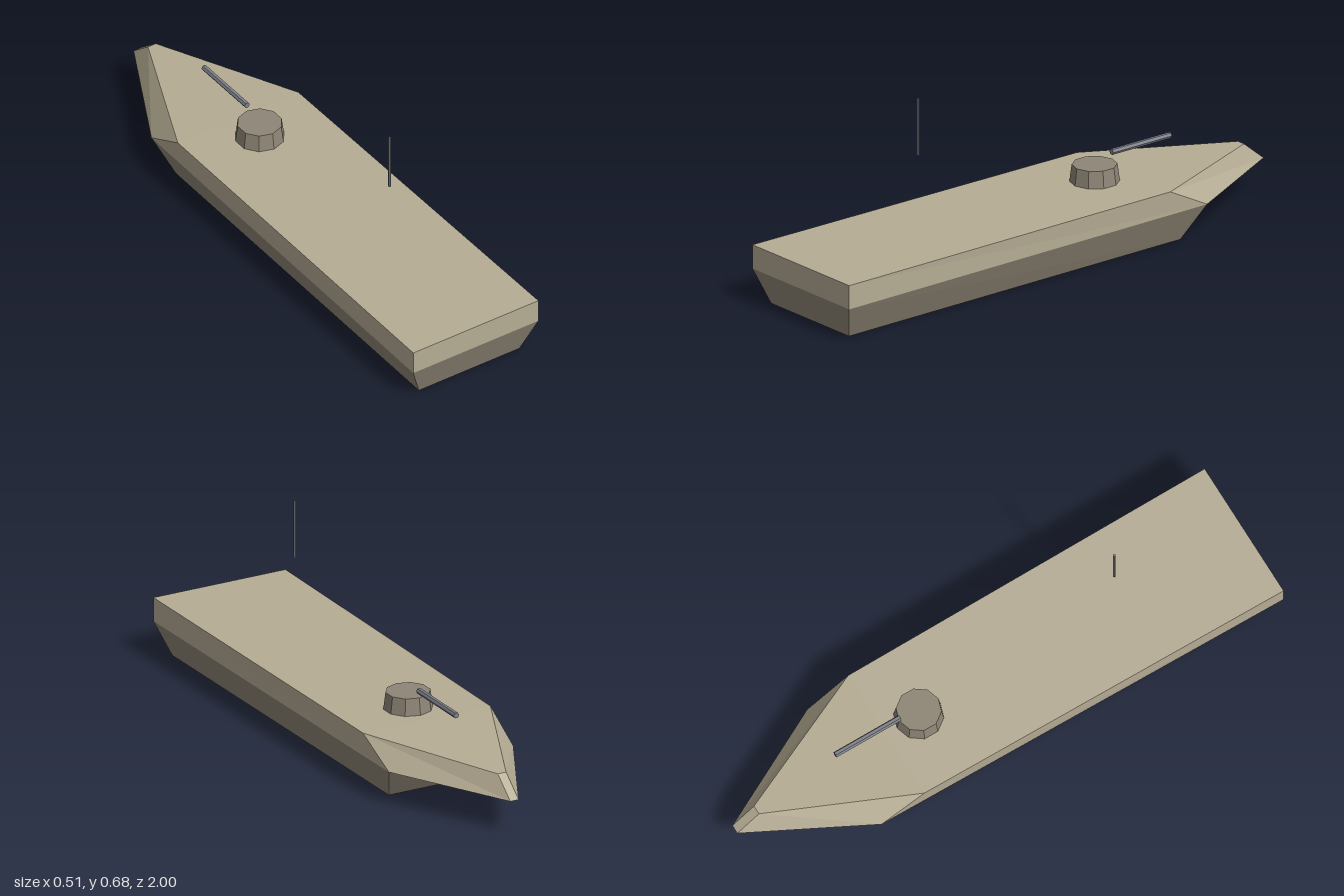
import * as THREE from 'three';

// Solid lofted between a lower and an upper loop, both anticlockwise from above
function loft(lower, upper) {
  const pos = [];
  const tri = (a, b, c) => pos.push(...a, ...b, ...c);
  const n = lower.length;
  for (let i = 0; i < n; i++) {
    const j = (i + 1) % n;
    tri(lower[i], lower[j], upper[i]);
    tri(lower[j], upper[j], upper[i]);
  }
  for (let i = 1; i < n - 1; i++) {
    tri(upper[0], upper[i], upper[i + 1]);
    tri(lower[0], lower[i + 1], lower[i]);
  }
  const geo = new THREE.BufferGeometry();
  geo.setAttribute('position', new THREE.Float32BufferAttribute(pos, 3));
  geo.computeVertexNormals();
  return geo;
}

// Symmetric loop from stations [halfWidth, y, z], listed from stern to bow
function loop(...stations) {
  const right = stations.map(([x, y, z]) => [x, y, z]);
  const left = stations.map(([x, y, z]) => [-x, y, z]).reverse();
  const all = [...right, ...left];
  return [...all.slice(1), all[0]]; // start at the shoulder so the deck folds there
}

export function createModel() {
  const group = new THREE.Group();
  const tan = new THREE.MeshStandardMaterial({ color: 0xb5ac94 });
  tan.name = 'sandPaint';
  const dark = new THREE.MeshStandardMaterial({ color: 0x8e8676 });
  dark.name = 'darkSandPaint';
  const metal = new THREE.MeshStandardMaterial({ color: 0x7e818a });
  metal.name = 'gunMetal';

  const add = (name, geo, mat, x = 0, y = 0, z = 0) => {
    const mesh = new THREE.Mesh(geo, mat);
    mesh.name = name;
    mesh.position.set(x, y, z);
    group.add(mesh);
    return mesh;
  };
  const faceted = (geo) => {
    const flat = geo.toNonIndexed();
    flat.computeVertexNormals();
    return flat;
  };

  // Lower hull, narrowing downward on all sides
  add('lowerHull', loft(
    loop([0.205, 0, 0.96], [0.195, 0, -0.49]),
    loop([0.255, 0.12, 1], [0.24, 0.12, -0.57])
  ), dark);

  // Upper hull with the pointed bow
  add('upperHull', loft(
    loop([0.255, 0.12, 1], [0.24, 0.12, -0.57], [0.016, 0.12, -1]),
    loop([0.255, 0.205, 1], [0.246, 0.205, -0.405], [0.016, 0.19, -0.915])
  ), tan);

  // Ten-sided turret
  add('turret', faceted(new THREE.CylinderGeometry(0.077, 0.085, 0.06, 10)), dark, 0, 0.235, -0.278);

  // Barrel floating ahead of the turret
  const barrel = faceted(new THREE.CylinderGeometry(0.0105, 0.0105, 0.255, 6));
  barrel.rotateY(Math.PI / 2).rotateX(-Math.PI / 2);
  add('gunBarrel', barrel, metal, 0, 0.29, -0.479);

  // Thin antenna mast above the rear deck
  add('antenna', faceted(new THREE.CylinderGeometry(0.0045, 0.0045, 0.204, 6)), metal, 0, 0.58, 0.49);

  return group;
}
